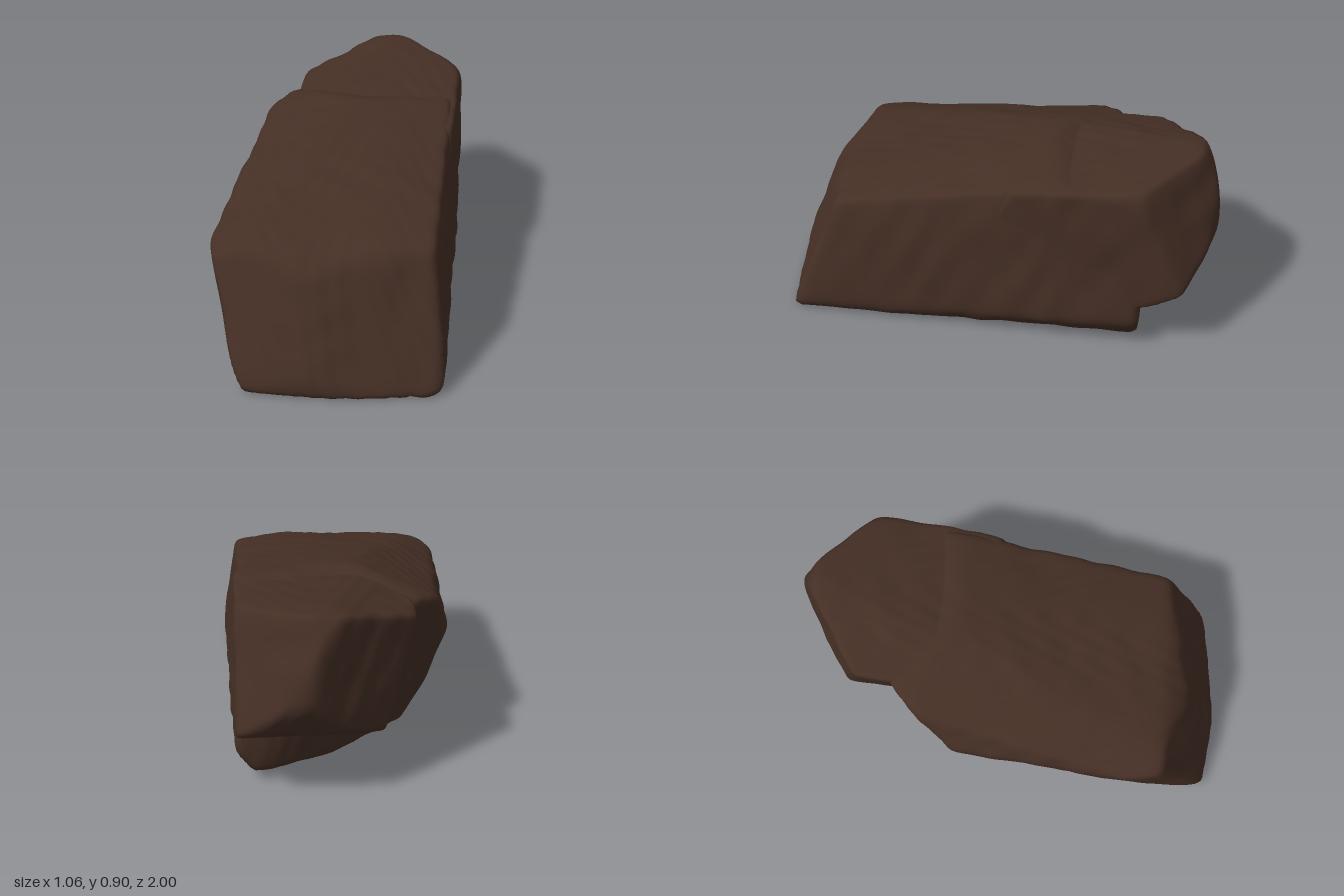
import * as THREE from 'three';
import { mergeVertices } from 'three/addons/utils/BufferGeometryUtils.js';

const rockBrown = new THREE.MeshStandardMaterial({ color: 0x452f25 });
rockBrown.name = 'rockBrown';

// Gentle weathering: layered waves, slightly finer across the strata
function weathering(x, y, z) {
  return 0.004 * Math.sin(7 * x + 3 * z + 2 * Math.sin(5 * y)) * Math.sin(8 * z - 4 * y + 1)
    + 0.004 * Math.sin(17 * x - 9 * z + 2 * Math.sin(11 * z)) * Math.sin(14 * y + 13 * z)
    + 0.003 * Math.sin(31 * z + 6 * Math.sin(9 * x)) * Math.sin(27 * x + 23 * y);
}

// A stone block cut by planes [normal x, y, z, point x, y, z], with worn edges.
// Each sphere direction is stretched to where it meets the planes.
function chunk(name, centre, proportions, cuts, sharpness) {
  const c = new THREE.Vector3(...centre);
  const planes = cuts.map(([nx, ny, nz, px, py, pz]) => {
    const n = new THREE.Vector3(nx, ny, nz).normalize();
    return n.divideScalar(n.dot(new THREE.Vector3(px, py, pz).sub(c)));
  });
  const ball = new THREE.IcosahedronGeometry(1, 42);
  ball.deleteAttribute('uv');
  ball.deleteAttribute('normal');
  const geometry = mergeVertices(ball, 1e-5);
  const pos = geometry.attributes.position;
  const stretch = new THREE.Vector3(...proportions);
  const d = new THREE.Vector3();
  for (let i = 0; i < pos.count; i++) {
    d.fromBufferAttribute(pos, i).multiply(stretch);
    let sum = 0;
    for (const n of planes) sum += Math.max(0, n.dot(d)) ** sharpness;
    d.multiplyScalar(sum ** (-1 / sharpness));
    const bump = weathering(d.x + c.x, d.y + c.y, d.z + c.z);
    d.multiplyScalar(1 + bump / d.length()).add(c);
    pos.setXYZ(i, d.x, Math.max(0, d.y), d.z);
  }
  geometry.computeVertexNormals();
  const mesh = new THREE.Mesh(geometry, rockBrown);
  mesh.name = name;
  return mesh;
}

export function createModel() {
  const rock = new THREE.Group();
  rock.name = 'rock';

  // Long main block, standing on the ground
  rock.add(chunk('mainBlock', [0, 0.35, 0.1], [0.5, 0.36, 0.85], [
    [0, -1, -0.03, 0, -0.003, 0.9],         // underside
    [-0.2, 0.4, 1, -0.08, 0.07, 1.012],     // front, two facets and a worn foot
    [0.2, 0.4, 1, -0.08, 0.07, 1.012],
    [0, -0.4, 1, 0, 0.07, 1.012],
    [0, 1, 0.8, 0, 0.575, 0.765],           // front brow
    [-1, -0.34, -0.06, -0.535, 0.53, 0.4],  // one flank, leaning out
    [-1, -0.6, -0.07, -0.35, 0.01, 0.9],
    [-1, -0.1, 0.3, -0.395, 0.1, 0.93],
    [-1, 0.3, -0.08, -0.5, 0.58, 0.3],
    [-1, -0.45, -1.09, -0.29, 0.03, -0.22], // undercut corner behind it
    [-0.75, 0, -1, -0.36, 0.4, -0.5],
    [-0.42, 1, 0.12, -0.45, 0.695, -0.35],  // sloping top
    [-0.05, 1, 0.25, 0, 0.845, -0.22],
    [0.15, 1, 0.22, 0.15, 0.82, -0.1],
    [0, 1, -0.35, 0, 0.85, -0.27],
    [1, 0.07, 0, 0.505, 0.4, 0.2],          // straight flank, leaning in at the top
    [1, 0.22, 0.08, 0.46, 0.62, 0.6],
    [1, -0.77, -0.06, 0.48, 0.01, 0.4],     // worn lower edge of that flank
    [0, 0, -1, 0.35, 0.15, -0.7],           // back foot
    [-0.37, -0.2, -1, 0.09, 0.05, -0.575],
  ], 46));

  // Higher slab that overhangs at the back
  rock.add(chunk('backSlab', [0.14, 0.55, -0.42], [0.38, 0.3, 0.55], [
    [0, 1, 0.15, 0.15, 0.905, -0.85],       // top facets
    [0.1, 1, 0.13, 0.2, 0.9, -0.85],
    [-0.3, 1, 0.06, -0.25, 0.785, -0.65],
    [1, 0.9, 0, 0.49, 0.84, -0.6],
    [0, 0.5, 1, 0.1, 0.6, -0.02],           // end buried in the main block
    [1, 0, 0.04, 0.508, 0.5, -0.6],         // flanks
    [-1, -0.3, 0, -0.275, 0.75, -0.6],
    [0, -1, -0.5, 0.2, 0.235, -0.7],        // overhang
    [0, -1, 0, 0.2, 0.16, -0.4],
    [-0.7, 0, -1, 0, 0.65, -0.88],          // pointed back
    [0.9, 0.45, -1, 0.45, 0.5, -0.88],
    [0.1, 0, -1, 0.2, 0.7, -1.01],
    [0, 0.7, -1, 0.2, 0.83, -0.97],
    [0, -0.6, -1, 0.2, 0.43, -0.96],
  ], 40));

  return rock;
}
